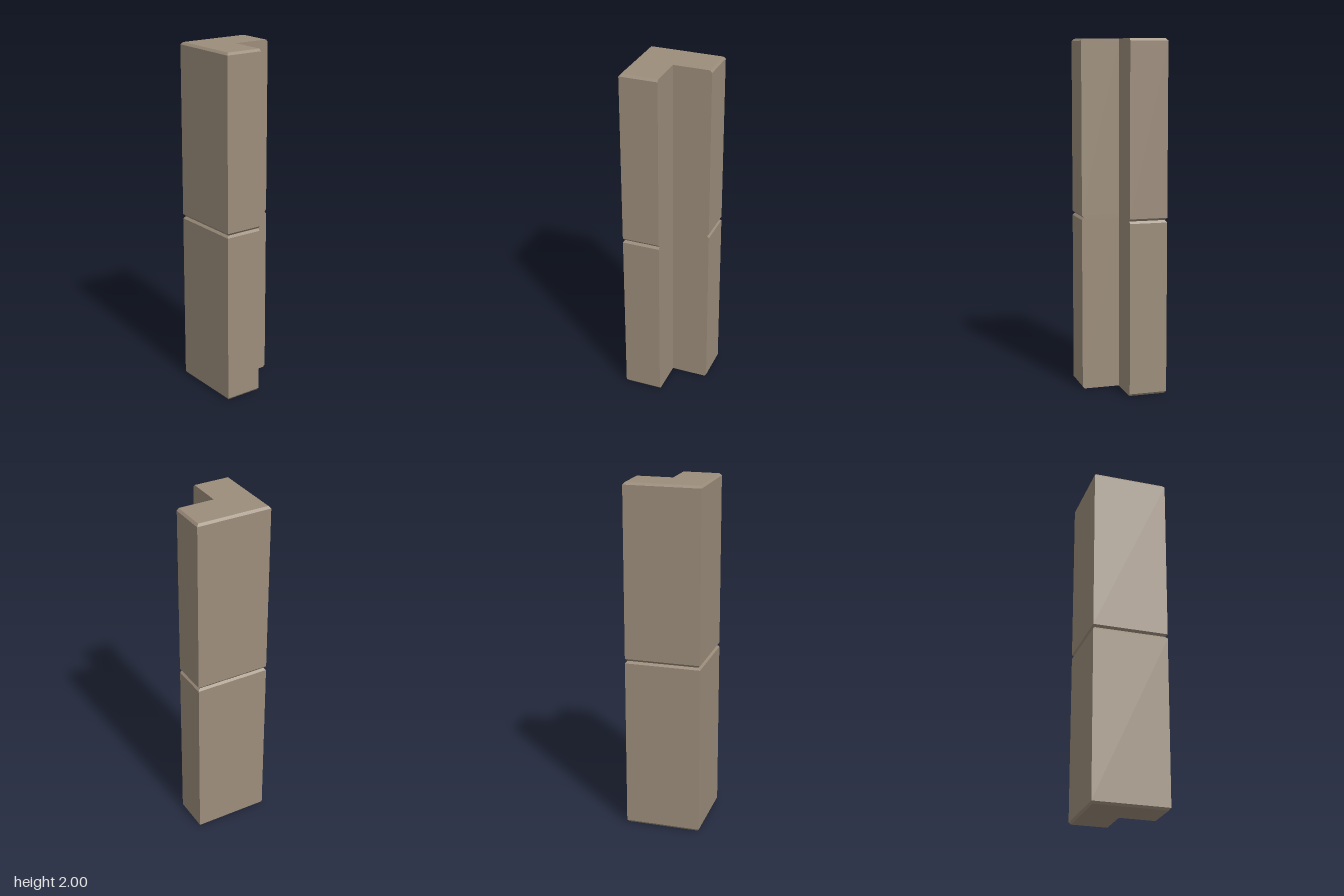
import * as THREE from 'three';

const HALF = 0.217;   // half width of the L plan
const INSET = 0.011;  // how far the chamfer cuts in
const CHAMFER = 0.013; // chamfer height

// L-shaped plan (x, z) starting at the inner corner, which sees every other corner
const PLAN = [[0, 0], [0, -1], [-1, -1], [-1, 1], [1, 1], [1, 0]];

// Stone block: loft of the plan, drawn in at both ends so only the outer faces are chamfered
function blockGeometry(height) {
  const levels = [
    [0, HALF - INSET],
    [CHAMFER, HALF],
    [height - CHAMFER, HALF],
    [height, HALF - INSET],
  ];
  const rings = levels.map(([y, r]) => PLAN.map(([x, z]) => [x * r, y, z * r]));
  const positions = [];
  const tri = (a, b, c) => positions.push(...a, ...b, ...c);
  const n = PLAN.length;

  // side walls
  for (let l = 0; l < rings.length - 1; l++) {
    const low = rings[l], high = rings[l + 1];
    for (let i = 0; i < n; i++) {
      const j = (i + 1) % n;
      tri(low[i], low[j], high[j]);
      tri(low[i], high[j], high[i]);
    }
  }
  // end caps, fanned from the inner corner
  const bottom = rings[0], top = rings[rings.length - 1];
  for (let i = 1; i < n - 1; i++) {
    tri(top[0], top[i], top[i + 1]);
    tri(bottom[0], bottom[i + 1], bottom[i]);
  }

  const geometry = new THREE.BufferGeometry();
  geometry.setAttribute('position', new THREE.Float32BufferAttribute(positions, 3));
  geometry.computeVertexNormals();
  return geometry;
}

export function createModel() {
  const group = new THREE.Group();
  group.name = 'cornerPillar';
  const stone = new THREE.MeshStandardMaterial({ color: 0x9c8d7b });
  stone.name = 'stone';

  // two equal blocks stacked, their chamfers forming the groove
  const geometry = blockGeometry(1);
  ['lowerBlock', 'upperBlock'].forEach((name, i) => {
    const block = new THREE.Mesh(geometry, stone);
    block.name = name;
    block.position.y = i;
    group.add(block);
  });
  return group;
}
